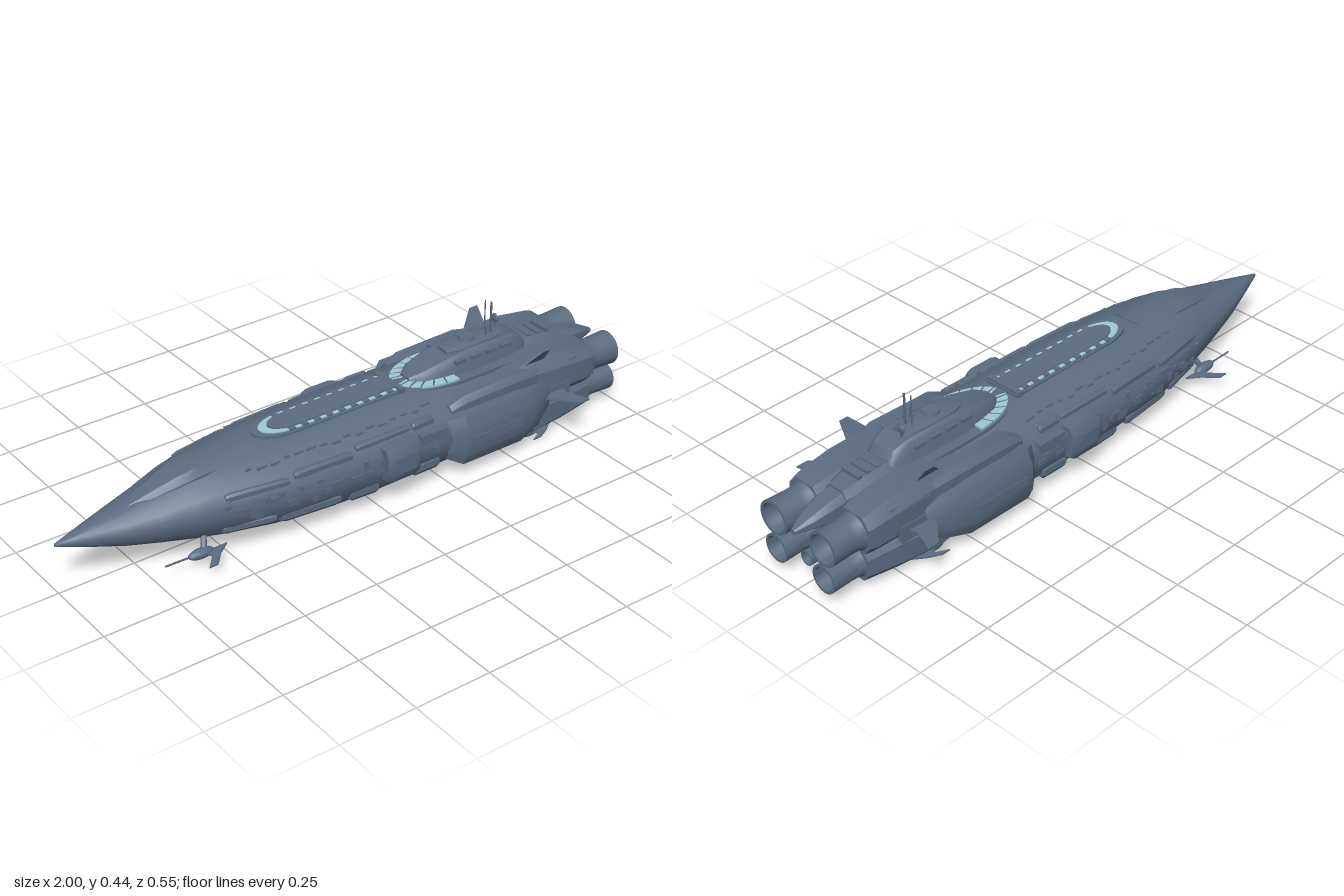
import * as THREE from 'three';
import { mergeVertices, toCreasedNormals } from 'three/addons/utils/BufferGeometryUtils.js';

const hullMat = new THREE.MeshStandardMaterial({ color: 0x5b6c7f, side: THREE.DoubleSide });
hullMat.name = 'hull steel';
const glassMat = new THREE.MeshStandardMaterial({ color: 0x9ccbd3 });
glassMat.name = 'pale window glass';

// Half profiles (z, y) from bottom centre to top centre, in -1..1
const ROUND = [[0, -1], [0.32, -0.97], [0.7, -0.8], [0.93, -0.42], [1, 0], [0.97, 0.3], [0.84, 0.56], [0.6, 0.86], [0.32, 0.97], [0, 1]];
const OCT = [[0, -1], [0.6, -1], [1, -0.5], [1, 0.5], [0.6, 1], [0, 1]];
const CABIN = [[0, -1], [1, -1], [0.85, 0.2], [0.72, 0.8], [0.6, 1], [0, 1]];

// Hull stations: x, half width, bottom, top
const HULL = [[-1, 0.004, 0.16, 0.17], [-0.9, 0.04, 0.128, 0.19], [-0.8, 0.075, 0.1, 0.208], [-0.7, 0.105, 0.078, 0.228],
  [-0.6, 0.135, 0.058, 0.255], [-0.5, 0.16, 0.042, 0.27], [-0.35, 0.188, 0.024, 0.276], [-0.2, 0.2, 0.01, 0.282],
  [0, 0.206, 0.002, 0.284], [0.2, 0.206, 0.006, 0.28], [0.45, 0.203, 0.014, 0.276], [0.6, 0.195, 0.018, 0.272],
  [0.7, 0.168, 0.028, 0.262], [0.8, 0.135, 0.045, 0.245], [0.86, 0.11, 0.06, 0.225]];

// Skins a list of [x, halfWidth, yLow, yHigh] stations with a mirrored profile
function loft(stations, half, zc = 0, crease = 0.5) {
  const ring = [...half, ...half.slice(1, -1).reverse().map(([z, y]) => [-z, y])];
  const n = ring.length, pos = [], idx = [];
  stations.forEach(([x, w, lo, hi, z0 = 0]) => ring.forEach(([z, y]) =>
    pos.push(x, (lo + hi) / 2 + y * (hi - lo) / 2, zc + z0 + z * w)));
  for (let i = 0; i < stations.length - 1; i++) for (let j = 0; j < n; j++) {
    const k = (j + 1) % n, a = i * n + j, b = a + n, c = (i + 1) * n + k, d = i * n + k;
    idx.push(a, b, c, a, c, d);
  }
  const last = (stations.length - 1) * n;
  for (let j = 1; j < n - 1; j++) idx.push(0, j, j + 1, last, last + j + 1, last + j);
  const g = new THREE.BufferGeometry();
  g.setAttribute('position', new THREE.Float32BufferAttribute(pos, 3));
  g.setIndex(idx);
  return toCreasedNormals(mergeVertices(g), crease);
}

// Side position of the hull skin at a given x and y
function skin(x, y) {
  let i = 0;
  while (i < HULL.length - 2 && HULL[i + 1][0] < x) i++;
  const A = HULL[i], B = HULL[i + 1], t = (x - A[0]) / (B[0] - A[0]);
  const [w, lo, hi] = [1, 2, 3].map(k => A[k] + (B[k] - A[k]) * t);
  const v = Math.max(-0.99, Math.min(0.99, (y - (lo + hi) / 2) / ((hi - lo) / 2)));
  let j = 0;
  while (ROUND[j + 1][1] < v) j++;
  const P = ROUND[j], Q = ROUND[j + 1];
  return w * (P[0] + (Q[0] - P[0]) * (v - P[1]) / (Q[1] - P[1]));
}

// Flat shape in (x, z) extruded upward from y
function slab(shape, y, h) {
  const g = new THREE.ExtrudeGeometry(shape, { depth: h, bevelEnabled: false, curveSegments: 24 });
  return g.rotateX(-Math.PI / 2).translate(0, y, 0);
}
function deckShape(x0, x1, r, hole) {
  const s = new THREE.Shape();
  s.moveTo(x1, r);
  s.lineTo(x0 + r * 2, r);
  s.absellipse(x0 + r * 2, 0, r * 2, r, Math.PI / 2, Math.PI * 1.5);
  s.lineTo(x1, -r);
  if (hole) s.holes.push(hole);
  return s;
}

export function createModel() {
  const ship = new THREE.Group();
  ship.name = 'starship';
  const add = (name, g, mat = hullMat) => {
    const m = new THREE.Mesh(g, mat);
    m.name = name;
    ship.add(m);
    return m;
  };
  const box = (name, x, y, z, w, h, d, mat) => add(name, new THREE.BoxGeometry(w, h, d).translate(x, y, z), mat);
  const rod = (name, a, b, r) => add(name, new THREE.TubeGeometry(new THREE.LineCurve3(new THREE.Vector3(...a), new THREE.Vector3(...b)), 1, r, 6));
  let seed = 7;
  const rnd = () => (seed = (seed * 16807) % 2147483647) / 2147483647;

  add('hull', loft(HULL, ROUND));
  // Nose hood and belly keel
  add('noseHood', loft([[-0.78, 0.02, 0.18, 0.21], [-0.62, 0.06, 0.2, 0.262], [-0.55, 0.07, 0.22, 0.274], [-0.36, 0.07, 0.23, 0.279]], OCT));
  add('bellyKeel', loft([[-0.25, 0.06, 0.012, 0.06], [-0.1, 0.1, 0.001, 0.06], [0.12, 0.1, 0, 0.06], [0.3, 0.08, 0.006, 0.06]], OCT));
  add('rearKeel', loft([[0.4, 0.06, 0.012, 0.06], [0.5, 0.09, 0.006, 0.06], [0.72, 0.07, 0.008, 0.07], [0.86, 0.05, 0.03, 0.08]], OCT));

  // Dorsal deck with a window band
  add('dorsalDeck', slab(deckShape(-0.33, 0.19, 0.062), 0.262, 0.023));
  add('dorsalWindowBand', slab(deckShape(-0.305, 0.165, 0.052), 0.28, 0.008), glassMat);
  add('dorsalRoof', slab(deckShape(-0.275, 0.17, 0.04), 0.27, 0.022));
  for (let x = -0.22; x < 0.17; x += 0.045) for (const s of [1, -1])
    box('dorsalWindowFrame', x, 0.284, s * 0.046, 0.022, 0.012, 0.015);
  box('dorsalBulkhead', 0.175, 0.278, 0, 0.02, 0.03, 0.13);

  // Forward bridge gallery: glazed half ring around the superstructure
  add('galleryBase', slab(deckShape(0.17, 0.62, 0.108), 0.24, 0.032));
  const arc = new THREE.Shape();
  arc.absellipse(0.37, 0, 0.18, 0.1, Math.PI / 2, Math.PI * 1.5);
  arc.absellipse(0.37, 0, 0.13, 0.066, Math.PI * 1.5, Math.PI / 2, true);
  add('galleryWindows', slab(arc, 0.27, 0.009), glassMat);
  for (let i = 1; i < 12; i++) {
    const a = Math.PI / 2 + i * Math.PI / 12;
    rod('galleryRib', [0.37 + 0.182 * Math.cos(a), 0.277, 0.101 * Math.sin(a)], [0.37 + 0.13 * Math.cos(a), 0.278, 0.066 * Math.sin(a)], 0.003);
  }
  // Command superstructure
  add('superstructure', loft([[0.235, 0.03, 0.26, 0.288], [0.27, 0.06, 0.26, 0.302], [0.35, 0.075, 0.26, 0.32], [0.44, 0.08, 0.26, 0.334],
    [0.62, 0.075, 0.26, 0.332], [0.66, 0.065, 0.26, 0.315], [0.68, 0.06, 0.25, 0.285]], CABIN));
  add('bridgeRoof', loft([[0.38, 0.025, 0.32, 0.334], [0.42, 0.042, 0.32, 0.342], [0.54, 0.042, 0.32, 0.342], [0.6, 0.03, 0.32, 0.337]], OCT));
  add('roofTurret', new THREE.CylinderGeometry(0.025, 0.028, 0.014, 16).translate(0.475, 0.343, 0));
  for (const s of [1, -1]) for (let i = 0; i < 4; i++) box('roofVent', 0.4 + i * 0.06, 0.312, s * 0.064, 0.04, 0.012, 0.016);

  // Masts and dish
  rod('tallMast', [0.565, 0.33, 0.01], [0.565, 0.443, 0.01], 0.0035);
  rod('tallMast', [0.56, 0.33, -0.013], [0.56, 0.443, -0.013], 0.002);
  rod('shortMast', [0.535, 0.33, 0.023], [0.535, 0.375, 0.023], 0.002);
  add('dish', new THREE.SphereGeometry(0.015, 14, 8).scale(0.4, 1, 1).translate(0.61, 0.36, -0.022));
  rod('dishStem', [0.61, 0.325, -0.022], [0.61, 0.355, -0.022], 0.003);

  // Tail block and spine
  add('tailBlock', loft([[0.64, 0.07, 0.2, 0.28], [0.68, 0.062, 0.2, 0.29], [0.77, 0.058, 0.19, 0.282], [0.84, 0.045, 0.18, 0.268]], OCT));
  add('tailSpine', loft([[0.76, 0.045, 0.17, 0.27], [0.88, 0.042, 0.18, 0.255], [0.95, 0.03, 0.19, 0.232], [1, 0.008, 0.195, 0.208]], OCT));
  for (let i = 0; i < 4; i++) box('tailRib', 0.675 + i * 0.035, 0.286, 0, 0.014, 0.012, 0.07);

  // Engine bells: outer skin, lip and hollow inside
  const engine = (name, x0, x1, y, z, r) => {
    const L = x1 - x0;
    const p = [[r * 1.12, 0], [r * 1.12, L * 0.35], [r * 0.98, L * 0.42], [r * 0.94, L * 0.6], [r, L], [r * 0.84, L],
      [r * 0.76, L * 0.65], [r * 0.45, L * 0.4], [0, L * 0.36]].map(q => new THREE.Vector2(...q));
    add(name, toCreasedNormals(new THREE.LatheGeometry(p, 28), 0.6).rotateZ(-Math.PI / 2).translate(x0, y, z));
  };
  engine('centreEngine', 0.82, 0.96, 0.087, 0, 0.024);
  add('centreEngineHousing', loft([[0.7, 0.07, 0.03, 0.15], [0.82, 0.055, 0.035, 0.145], [0.88, 0.034, 0.05, 0.122]], OCT));

  for (const s of [1, -1]) {
    engine('upperEngine', 0.8, 0.985, 0.187, s * 0.102, 0.056);
    engine('lowerEngine', 0.8, 0.985, 0.082, s * 0.1, 0.046);
    // Engine housings
    add('upperNacelle', loft([[0.5, 0.035, 0.17, 0.262, s * 0.01], [0.6, 0.066, 0.14, 0.274, s * 0.006], [0.74, 0.074, 0.12, 0.272], [0.84, 0.07, 0.122, 0.258], [0.87, 0.064, 0.126, 0.25]], OCT, s * 0.103));
    add('lowerNacelle', loft([[0.5, 0.07, 0.02, 0.14], [0.62, 0.085, 0.014, 0.15], [0.76, 0.07, 0.02, 0.145], [0.87, 0.053, 0.03, 0.135]], OCT, s * 0.102));

    // Broad rear flank armour with a slot
    add('flankArmour', loft([[0.24, 0.03, 0.08, 0.2, s * -0.03], [0.3, 0.05, 0.052, 0.222], [0.53, 0.05, 0.052, 0.222], [0.62, 0.04, 0.07, 0.21, s * -0.015], [0.67, 0.03, 0.1, 0.19, s * -0.03]], OCT, s * 0.185));
    add('shoulderArmour', loft([[0.28, 0.03, 0.19, 0.24], [0.33, 0.04, 0.19, 0.262], [0.56, 0.04, 0.19, 0.268], [0.63, 0.03, 0.19, 0.255]], OCT, s * 0.145));
    box('flankRidge', 0.42, 0.137, s * 0.232, 0.2, 0.028, 0.012);
    box('flankPod', 0.7, 0.15, s * 0.165, 0.12, 0.055, 0.03);
    for (let i = 0; i < 3; i++) box('nacelleStrake', 0.72, 0.25 - i * 0.012, s * (0.148 + i * 0.012), 0.14, 0.014, 0.014);

    // Midship docking block
    add('dockingBlock', loft([[0, 0.03, 0.105, 0.208], [0.02, 0.036, 0.095, 0.213], [0.105, 0.036, 0.095, 0.213], [0.125, 0.03, 0.105, 0.208]], OCT, s * 0.199));
    box('dockingDoor', 0.0625, 0.155, s * 0.234, 0.07, 0.05, 0.006);
    box('dockingLink', 0.19, 0.19, s * 0.195, 0.1, 0.03, 0.03);

    // Overlapping upper and lower hull plates
    for (const [x, y, w, h] of [[-0.42, 0.205, 0.2, 0.026], [-0.2, 0.212, 0.2, 0.03], [0.02, 0.224, 0.2, 0.022], [0.17, 0.222, 0.08, 0.03],
      [-0.45, 0.1, 0.16, 0.03], [-0.25, 0.09, 0.2, 0.035], [-0.06, 0.08, 0.1, 0.04], [0.17, 0.085, 0.1, 0.04]]) {
      const st = [-0.5, -0.42, 0.42, 0.5].map((f, i) => {
        const e = i % 3 ? 1 : 0.7;
        return [x + f * w, 0.014, y - h * e / 2, y + h * e / 2, s * (skin(x + f * w, y) - 0.007)];
      });
      add('hullPlate', loft(st, OCT));
    }
    // Machinery along the waist and upper shoulder
    for (let i = 0; i < 34; i++) {
      const x = -0.52 + i * 0.0225 + rnd() * 0.01, y = 0.125 + rnd() * 0.06;
      box('waistMachinery', x, y, s * (skin(x, y) - 0.002), 0.012 + rnd() * 0.025, 0.008 + rnd() * 0.02, 0.012);
    }
    for (let i = 0; i < 16; i++) {
      const x = -0.42 + i * 0.042, y = 0.246 + rnd() * 0.008;
      box('shoulderMachinery', x, y, s * (skin(x, y) - 0.006), 0.016 + rnd() * 0.02, 0.01, 0.014);
    }

    // Horizontal tail fin
    const fin = new THREE.Shape([[0.6, 0.16], [0.74, 0.16], [0.725, 0.2], [0.755, 0.277], [0.715, 0.277], [0.65, 0.2]].map(p => new THREE.Vector2(p[0], s * p[1])));
    add('tailFin', slab(fin, 0.15, 0.006));
    // Raked upper fin
    const blade = new THREE.Shape([[0.58, 0], [0.67, 0], [0.665, 0.065], [0.635, 0.065]].map(p => new THREE.Vector2(...p)));
    const m = add('upperFin', new THREE.ExtrudeGeometry(blade, { depth: 0.004, bevelEnabled: false }));
    m.position.set(0, 0.265, s * 0.142);
    m.rotation.x = s * 0.57;

    // Sensor pods under the bow and stern
    for (const [x, y, z, tip] of [[-0.6, 0.043, 0.125, 0.2], [0.62, 0.022, 0.148, 0.198]]) {
      add('sensorPod', new THREE.SphereGeometry(0.018, 14, 10).scale(2.4, 0.9, 1).translate(x, y, s * z));
      rod('sensorProbe', [x - 0.12, y + 0.003, s * z], [x, y, s * z], 0.003);
      rod('podStrut', [x + 0.01, y, s * z], [x + 0.03, y + 0.05, s * (z - 0.03)], 0.01);
      const w = new THREE.Shape([[x, z], [x + 0.09, z], [x + 0.05, z + 0.03], [x + 0.01, tip], [x - 0.02, tip], [x + 0.02, z + 0.03]].map(p => new THREE.Vector2(p[0], s * p[1])));
      add('podWinglet', slab(w, y - 0.003, 0.005));
    }
  }
  return ship;
}
